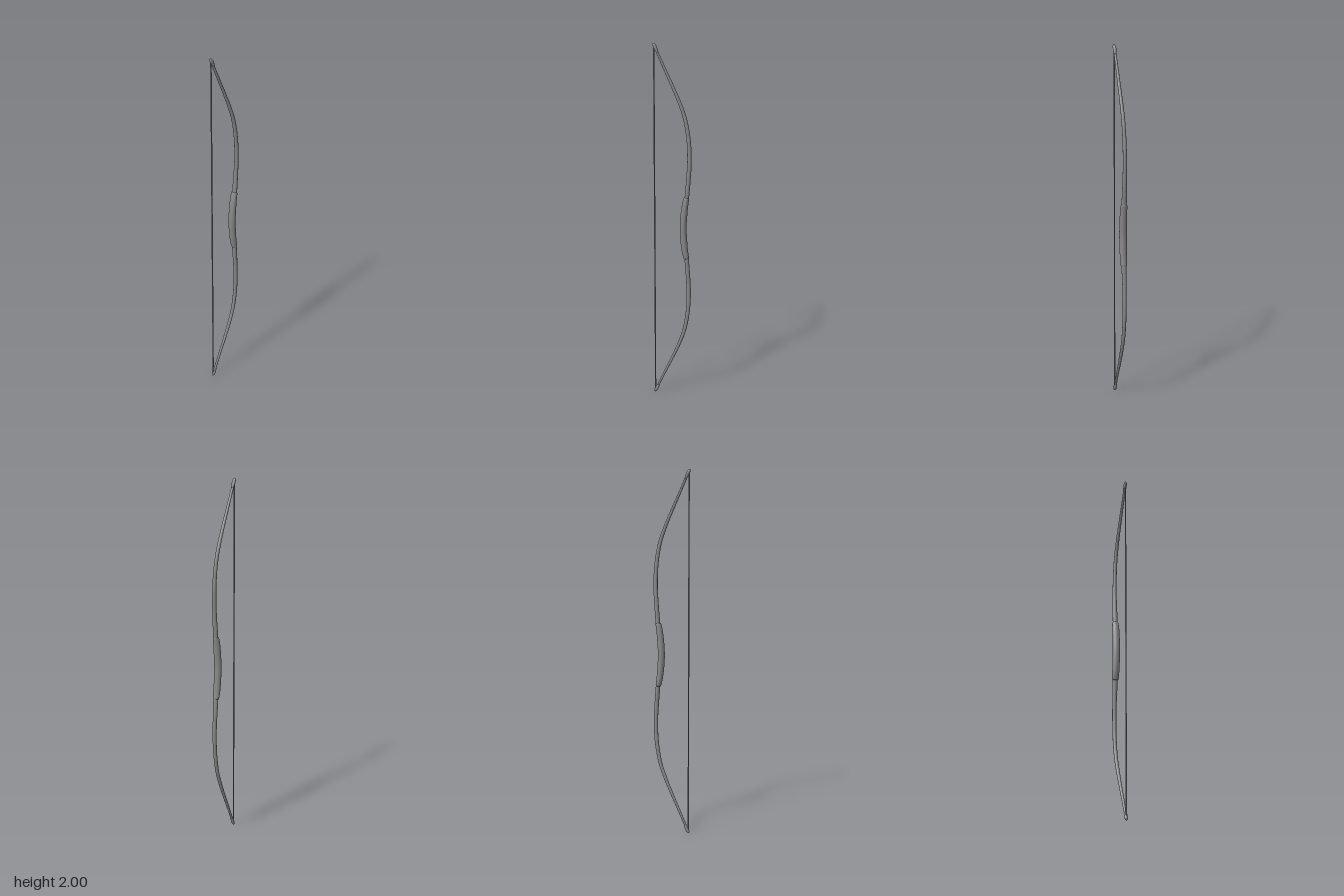
import * as THREE from 'three';

const material = new THREE.MeshStandardMaterial({ color: 0x888888 });

// Sweep an oval section in the xy plane; each station is [x, y, half depth, half width in z]
function sweep(name, stations, steps, sides) {
  const path = new THREE.CatmullRomCurve3(stations.map(s => new THREE.Vector3(s[0], s[1], 0)), false, 'centripetal');
  const size = new THREE.SplineCurve(stations.map(s => new THREE.Vector2(s[2], s[3])));
  const pos = [], index = [];
  for (let i = 0; i <= steps; i++) {
    const p = path.getPoint(i / steps), t = path.getTangent(i / steps), r = size.getPoint(i / steps);
    for (let j = 0; j < sides; j++) {
      const a = (j / sides) * Math.PI * 2;
      const u = Math.cos(a) * r.x;
      pos.push(p.x + t.y * u, p.y - t.x * u, Math.sin(a) * r.y);
    }
  }
  for (let i = 0; i < steps; i++) {
    for (let j = 0; j < sides; j++) {
      const a = i * sides + j, b = i * sides + (j + 1) % sides;
      index.push(a, a + sides, b, b, a + sides, b + sides);
    }
  }
  // End caps
  for (const end of [0, steps]) {
    const c = pos.length / 3, p = path.getPoint(end / steps);
    pos.push(p.x, p.y, 0);
    for (let j = 0; j < sides; j++) {
      const a = end * sides + j, b = end * sides + (j + 1) % sides;
      if (end) index.push(c, b, a); else index.push(c, a, b);
    }
  }
  const geo = new THREE.BufferGeometry();
  geo.setAttribute('position', new THREE.Float32BufferAttribute(pos, 3));
  geo.setIndex(index);
  geo.computeVertexNormals();
  const mesh = new THREE.Mesh(geo, material);
  mesh.name = name;
  return mesh;
}

// Reflect stations about mid height (y = 1), keeping them ordered upwards
const flip = list => list.map(([x, y, a, b]) => [x, 2 - y, a, b]).reverse();

export function createModel() {
  const bow = new THREE.Group();
  bow.name = 'bow';

  // Recurved stave, thick beside the grip and thin at the tips
  const upper = [
    [0.077, 1.15, 0.012, 0.014], [0.082, 1.21, 0.012, 0.0138], [0.088, 1.29, 0.012, 0.012],
    [0.092, 1.38, 0.0118, 0.011], [0.086, 1.5, 0.011, 0.0105], [0.066, 1.61, 0.01, 0.01],
    [0.036, 1.695, 0.009, 0.0095], [0, 1.778, 0.008, 0.0085], [-0.045, 1.876, 0.007, 0.0075],
    [-0.09, 1.975, 0.006, 0.007],
  ];
  bow.add(sweep('stave', [...flip(upper), [0.062, 1, 0.012, 0.014], ...upper], 120, 16));

  // Swollen grip with blunt shoulders
  const gripHalf = [
    [0.063, 1.07, 0.0185, 0.02], [0.0695, 1.13, 0.017, 0.0195], [0.075, 1.16, 0.0155, 0.0185],
    [0.0775, 1.172, 0.014, 0.0165], [0.078, 1.177, 0.008, 0.01],
  ];
  bow.add(sweep('grip', [...flip(gripHalf), [0.0595, 1, 0.0185, 0.0205], ...gripHalf], 60, 20));

  // Rounded nocks at both tips
  const nock = [
    [-0.078, 1.95, 0.006, 0.007], [-0.084, 1.964, 0.0085, 0.009], [-0.091, 1.979, 0.0095, 0.0095],
    [-0.098, 1.993, 0.007, 0.0075], [-0.101, 1.999, 0.002, 0.002],
  ];
  bow.add(sweep('upperNock', nock, 16, 12));
  bow.add(sweep('lowerNock', flip(nock), 16, 12));

  // Taut string
  const string = new THREE.Mesh(new THREE.CylinderGeometry(0.0036, 0.0036, 1.96, 8), material);
  string.name = 'string';
  string.position.set(-0.097, 1, 0);
  bow.add(string);

  return bow;
}
